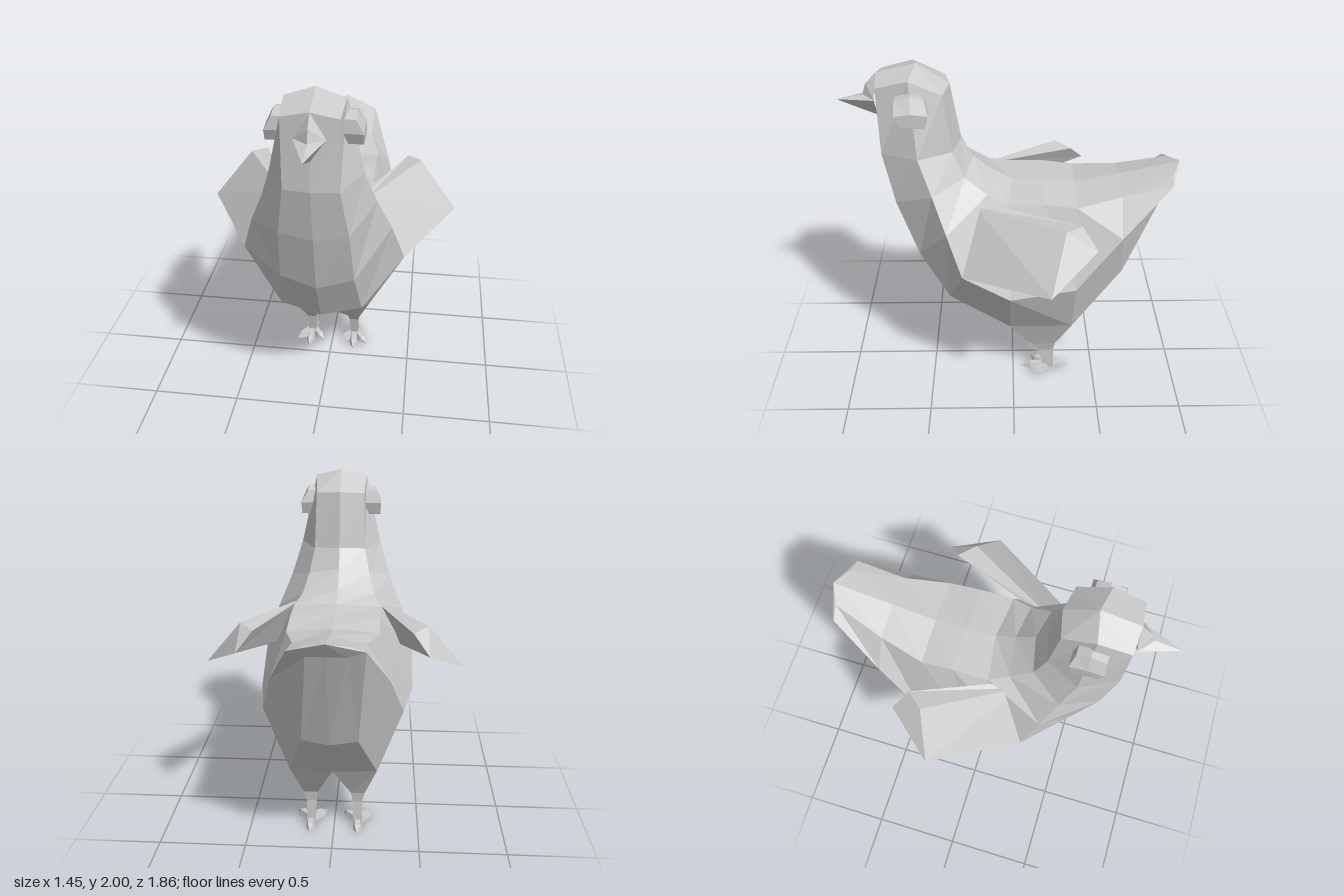
import * as THREE from 'three';

const material = new THREE.MeshStandardMaterial({ color: 0xcccccc, flatShading: true, side: THREE.DoubleSide });

// Flat-shaded mesh from a list of polygons, each a counter-clockwise list of points
function polyMesh(name, polys) {
  const pos = [];
  for (const p of polys)
    for (let i = 1; i < p.length - 1; i++) pos.push(...p[0], ...p[i], ...p[i + 1]);
  const g = new THREE.BufferGeometry();
  g.setAttribute('position', new THREE.Float32BufferAttribute(pos, 3));
  g.computeVertexNormals();
  const mesh = new THREE.Mesh(g, material);
  mesh.name = name;
  return mesh;
}

const flip = ([x, y, z]) => [-x, y, z];
const mirror = (polys) => polys.map((p) => p.map(flip).reverse());

// Skin between successive closed rings
function loft(rings) {
  const polys = [];
  for (let i = 0; i < rings.length - 1; i++) {
    const a = rings[i], b = rings[i + 1], n = a.length;
    for (let j = 0; j < n; j++) {
      const k = (j + 1) % n;
      polys.push([a[j], a[k], b[k], b[j]]);
    }
  }
  return polys;
}

// Fan from a point to a ring
const fan = (tip, ring) => ring.map((p, j) => [tip, p, ring[(j + 1) % ring.length]]);

// Full ring from a left half running spine, back edge, side, front edge, belly
const fullRing = (half) => [...half, ...half.slice(1, -1).reverse().map(flip)];

function bodyPolys() {
  const rings = [
    [[0, 1.89, 0.33], [0.14, 1.88, 0.36], [0.15, 1.96, 0.53], [0.14, 1.92, 0.7], [0, 1.95, 0.71]], // crown
    [[0, 1.57, 0.28], [0.15, 1.56, 0.32], [0.24, 1.56, 0.5], [0.14, 1.55, 0.7], [0, 1.55, 0.72]], // neck
    [[0, 1.46, 0.22], [0.18, 1.42, 0.26], [0.3, 1.37, 0.43], [0.18, 1.27, 0.64], [0, 1.25, 0.66]],
    [[0, 1.37, 0.11], [0.21, 1.33, 0.14], [0.38, 1.18, 0.36], [0.2, 0.94, 0.53], [0, 0.9, 0.57]], // chest
    [[0, 1.31, 0], [0.25, 1.29, 0.03], [0.45, 0.95, 0.28], [0.23, 0.65, 0.37], [0, 0.6, 0.4]],
    [[0, 1.3, -0.17], [0.25, 1.29, -0.17], [0.45, 0.79, 0.02], [0.25, 0.43, 0.02], [0, 0.36, 0.02]], // belly
    [[0, 1.29, -0.35], [0.25, 1.265, -0.35], [0.39, 0.81, -0.35], [0.25, 0.43, -0.35], [0, 0.46, -0.42]],
    [[0, 1.34, -0.6], [0.19, 1.3, -0.6], [0.31, 1.1, -0.6], [0.15, 0.77, -0.64], [0, 0.75, -0.65]], // rump
    [[0, 1.41, -0.9], [0.11, 1.39, -0.88], [0.19, 1.36, -0.87], [0.1, 1.33, -0.865], [0, 1.33, -0.865]], // tail
  ].map(fullRing);
  const last = rings[rings.length - 1];
  return [
    ...loft(rings),
    ...fan([0, 2, 0.5], rings[0]),
    ...fan([0, 1.42, -0.93], [...last].reverse()),
  ];
}

// Beak with a small ridge joining it to the forehead
function beakPolys() {
  const brow = [0, 1.95, 0.71], top = [0, 1.89, 0.77], ridge = [0, 1.83, 0.79];
  const side = [0.078, 1.825, 0.72], bottom = [0, 1.71, 0.72], tip = [0, 1.8, 0.93];
  const half = [[brow, side, top], [top, side, ridge], [ridge, side, tip], [side, bottom, tip]].map(
    (p) => [p[0], p[2], p[1]].reverse());
  const left = half.map((p) => [p[0], p[2], p[1]]).map((p) => [...p].reverse());
  return [...left, ...mirror(left)];
}

// Folded wing standing out from the shoulder
function wingPolys() {
  const A = [0.45, 0.95, 0.28], B = [0.725, 1.02, -0.19], C = [0.515, 1.17, -0.44];
  const D = [0.43, 1.27, -0.36], E = [0.51, 1.285, -0.27];
  const F = [0.24, 1.27, 0.2], G = [0.26, 1.28, 0.06], H = [0.36, 1.05, 0.08];
  return [
    [F, A, B], [F, B, E], // outer face
    [E, B, C], [E, C, D], // end
    [F, E, D], [F, D, G], // top edge
    [G, D, C], [G, C, H], // inner face
    [A, H, C], [A, C, B], // underside
  ];
}

// Raised cheek plate, wedge-shaped from above
function cheekPolys() {
  const outline = [[1.9, 0.52], [1.88, 0.6], [1.81, 0.605], [1.75, 0.58], [1.74, 0.45], [1.81, 0.43], [1.88, 0.45]];
  const outer = outline.map(([y, z]) => [y > 1.85 ? 0.2 : 0.238, y, z]);
  const inner = outline.map(([y, z]) => [0.13, y, z]);
  return [...loft([inner, outer]), ...fan([0.238, 1.82, 0.52], outer)].map((p) => [...p].reverse());
}

// Rectangular ring: back-inner, back-outer, front-outer, front-inner
const box = (x0, x1, y, zb, zf) => [[x0, y, zb], [x1, y, zb], [x1, y, zf], [x0, y, zf]];

function legPolys() {
  return loft([
    [[0, 0.46, -0.42], [0.25, 0.43, -0.35], [0.25, 0.43, 0.02], [0, 0.36, 0.02]],
    box(0.1, 0.18, 0.225, -0.26, -0.11),
    box(0.11, 0.165, 0.16, -0.25, -0.16),
    box(0.115, 0.165, 0.01, -0.255, -0.19),
  ]);
}

// One toe from the ankle to a pointed tip
function toePolys(tx, tz) {
  const cx = 0.14, cz = -0.22;
  const dx = tx - cx, dz = tz - cz, len = Math.hypot(dx, dz);
  const ring = (t, w, h) => {
    const x = cx + dx * t, z = cz + dz * t, px = (dz / len) * w, pz = (-dx / len) * w;
    return [[x + px, 0, z + pz], [x + px * 0.6, h, z + pz * 0.6], [x - px * 0.6, h, z - pz * 0.6], [x - px, 0, z - pz]];
  };
  const mid = ring(0.65, 0.026, 0.032);
  return [...loft([ring(0, 0.026, 0.04), mid]), ...fan([tx, 0.005, tz], [...mid].reverse())];
}

function footPolys() {
  const tips = [[0.145, -0.05], [0.23, -0.11], [0.05, -0.11], [0.14, -0.35]];
  return tips.flatMap(([x, z]) => toePolys(x, z));
}

export function createModel() {
  const model = new THREE.Group();
  model.name = 'hen';
  model.add(polyMesh('body', bodyPolys()), polyMesh('beak', beakPolys()));
  const paired = { Wing: wingPolys(), Cheek: cheekPolys(), Leg: legPolys(), Foot: footPolys() };
  for (const [name, polys] of Object.entries(paired)) {
    model.add(polyMesh('left' + name, polys), polyMesh('right' + name, mirror(polys)));
  }
  return model;
}
